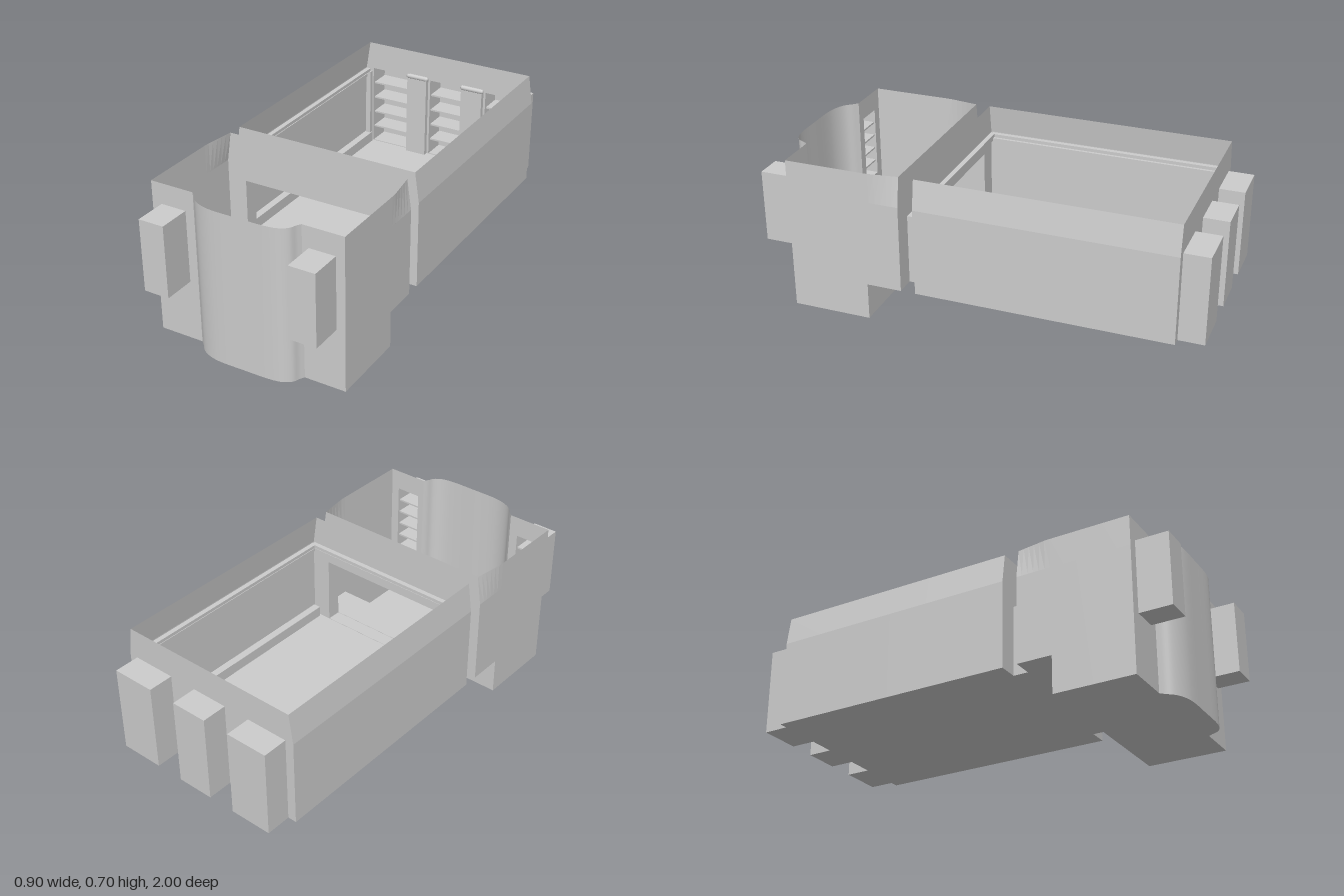
import * as THREE from 'three';

const mat = new THREE.MeshStandardMaterial({ color: 0xcccccc, side: THREE.DoubleSide, flatShading: true });
const smoothMat = new THREE.MeshStandardMaterial({ color: 0xcccccc, side: THREE.DoubleSide });
const TOP = 0.705, DECK = 0.17, EAVE = 0.57;

function add(parent, name, geo, material = mat) {
  const mesh = new THREE.Mesh(geo, material);
  mesh.name = name;
  parent.add(mesh);
  return mesh;
}

// Box given by its limits; faces listed in omit are left open (0 +x, 1 -x, 2 +y, 3 -y, 4 +z, 5 -z)
function box(x0, x1, y0, y1, z0, z1, omit = []) {
  const g = new THREE.BoxGeometry(x1 - x0, y1 - y0, z1 - z0);
  const index = Array.from(g.index.array).filter((_, i) => !omit.includes(Math.floor(i / 6)));
  g.setIndex(index);
  g.clearGroups();
  g.translate((x0 + x1) / 2, (y0 + y1) / 2, (z0 + z1) / 2);
  return g;
}

function floor(x0, x1, z0, z1, y) {
  return new THREE.PlaneGeometry(x1 - x0, z1 - z0).rotateX(-Math.PI / 2)
    .translate((x0 + x1) / 2, y, (z0 + z1) / 2);
}

// Upright sheet facing +z with rectangular openings [x0, x1, y0, y1]
function wall(points, openings, z) {
  const shape = new THREE.Shape(points.map(p => new THREE.Vector2(...p)));
  for (const [x0, x1, y0, y1] of openings) {
    shape.holes.push(new THREE.Path([[x0, y0], [x0, y1], [x1, y1], [x1, y0]].map(p => new THREE.Vector2(...p))));
  }
  return new THREE.ShapeGeometry(shape).translate(0, 0, z);
}

// Side wall whose upper strip leans inward; lean(z) gives the amount at the top
function sideWall(side, z0, z1, y0, lean) {
  const g = new THREE.PlaneGeometry(z1 - z0, 1, 6, 2).rotateY(Math.PI / 2);
  const p = g.attributes.position;
  for (let i = 0; i < p.count; i++) {
    const v = p.getY(i), z = p.getZ(i) + (z0 + z1) / 2;
    const y = v > 0.4 ? TOP : v > -0.4 ? EAVE : y0;
    const x = 0.45 - (y === TOP ? lean(z) : 0);
    p.setXYZ(i, side * x, y, z);
  }
  if (side < 0) g.setIndex(Array.from(g.index.array).reverse());
  g.computeVertexNormals();
  return g;
}

// Recessed cupboard, open to the room, with shelves
function alcove(parent, name, x0, x1, y0, y1, z0, z1, openFace) {
  const group = new THREE.Group();
  group.name = name;
  add(group, 'cupboardShell', box(x0, x1, y0, y1, z0, z1, [openFace]));
  for (let i = 1; i < 5; i++) {
    const y = y0 + (y1 - y0) * i / 5;
    add(group, 'shelf', box(x0 + 0.004, x1 - 0.004, y - 0.004, y + 0.004, z0 + 0.006, z1 - 0.006));
  }
  parent.add(group);
}

const section = [[-0.45, DECK], [0.45, DECK], [0.45, EAVE], [0.43, TOP], [-0.43, TOP], [-0.45, EAVE]];
const door = [-0.36, 0.36, DECK + 0.002, 0.49];

function buildMainRoom() {
  const room = new THREE.Group();
  room.name = 'mainRoom';
  const zr = -0.885, zf = 0.263;
  const bays = [[-0.41, -0.215], [-0.09, 0.08], [0.21, 0.41]];
  add(room, 'mainFloor', floor(-0.45, 0.45, zr, zf, DECK));
  add(room, 'mainFrontWall', wall(section, [door], zf));
  add(room, 'mainRearWall', wall(section, bays.map(([a, b]) => [a, b, DECK + 0.004, EAVE]), zr));
  for (const s of [-1, 1]) {
    add(room, 'mainSideWall', sideWall(s, zr, zf, DECK, () => 0.02));
    const strip = (name, w, y0, y1) =>
      add(room, name, box(Math.min(s * 0.445, s * (0.445 - w)), Math.max(s * 0.445, s * (0.445 - w)), y0, y1, zr + 0.01, zf - 0.01));
    // Cornice mouldings and skirting along the side walls
    strip('upperCornice', 0.022, 0.555, 0.57);
    strip('lowerCornice', 0.014, 0.53, 0.545);
    strip('skirting', 0.035, DECK, 0.22);
  }
  for (const [y, d] of [[0.555, 0.025], [0.53, 0.015]]) {
    add(room, 'frontCornice', box(-0.44, 0.44, y, y + 0.015, zf - d, zf - 0.003));
  }
  bays.forEach(([a, b]) => alcove(room, 'rearCupboard', a, b, DECK, EAVE, -1, zr, 4));
  // Panels between the rear cupboards, each with a rounded cap
  for (const [a, b] of [[-0.205, -0.1], [0.09, 0.2]]) {
    add(room, 'rearPanel', box(a, b, DECK, EAVE, zr + 0.002, -0.86));
    const cap = add(room, 'panelCap', new THREE.CapsuleGeometry(0.012, b - a - 0.01, 4, 10), smoothMat);
    cap.rotation.z = Math.PI / 2;
    cap.position.set((a + b) / 2, 0.58, -0.868);
  }
  for (const x of [-0.427, 0.427]) {
    add(room, 'cornerPost', box(x - 0.012, x + 0.012, DECK, 0.555, zr + 0.002, -0.86));
  }
  return room;
}

function buildPassage() {
  const passage = new THREE.Group();
  passage.name = 'passage';
  add(passage, 'passageTunnel', box(-0.36, 0.36, DECK, 0.49, 0.263, 0.33, [4, 5]));
  return passage;
}

function buildCabin() {
  const cabin = new THREE.Group();
  cabin.name = 'frontCabin';
  const z0 = 0.33, step = 0.49, zf = 0.853;
  // Plan of the bowed front, from right to left
  const bowPoints = [[-0.245, zf], [-0.225, 0.872], [-0.2, 0.9], [-0.165, 0.92], [-0.11, 0.934], [0.02, 0.936],
    [0.16, 0.933], [0.205, 0.922], [0.235, 0.9], [0.248, 0.872], [0.26, zf]];
  const curve = new THREE.CatmullRomCurve3(bowPoints.map(([x, z]) => new THREE.Vector3(x, 0, z)));
  const plan = curve.getPoints(40);

  // Bowed front sheet
  const bow = new THREE.PlaneGeometry(1, TOP, plan.length - 1, 1);
  const p = bow.attributes.position;
  for (let i = 0; i < p.count; i++) {
    const q = plan[i % plan.length];
    p.setXYZ(i, q.x, i < plan.length ? TOP : 0, q.z);
  }
  bow.computeVertexNormals();
  add(cabin, 'bowedFront', bow, smoothMat);

  // Flat front panels with the cupboards
  for (const [a, b, c, d] of [[-0.45, -0.245, -0.405, -0.287], [0.26, 0.45, 0.29, 0.41]]) {
    add(cabin, 'frontPanel', wall([[a, 0], [b, 0], [b, TOP], [a, TOP]], [[c, d, 0.28, 0.61]], zf));
    alcove(cabin, 'frontCupboard', c, d, 0.28, 0.61, zf, 1, 5);
  }

  // Side walls: short over the raised deck, full height ahead of it
  const lean = z => 0.02 * THREE.MathUtils.clamp((0.47 - z) / 0.14, 0, 1);
  for (const s of [-1, 1]) {
    add(cabin, 'cabinRearSide', sideWall(s, z0, step, DECK, lean));
    add(cabin, 'cabinFrontSide', sideWall(s, step, zf, 0, lean));
  }
  add(cabin, 'cabinRearWall', wall(section, [door], z0));

  // Raised deck, riser and lower floor
  add(cabin, 'raisedDeck', floor(-0.45, 0.45, z0, step, DECK));
  add(cabin, 'riser', wall([[-0.45, 0], [0.45, 0], [0.45, DECK], [-0.45, DECK]], [], step));
  const plate = new THREE.Shape([
    new THREE.Vector2(-0.45, -step), new THREE.Vector2(-0.45, -zf),
    ...plan.map(q => new THREE.Vector2(q.x, -q.z)),
    new THREE.Vector2(0.45, -zf), new THREE.Vector2(0.45, -step)]);
  add(cabin, 'lowerFloor', new THREE.ShapeGeometry(plate).rotateX(-Math.PI / 2));

  // Steps down from the deck, ending in a rounded landing
  [[0.49, 0.53, 0.13], [0.53, 0.57, 0.09], [0.57, 0.6, 0.05]].forEach(([a, b, h]) =>
    add(cabin, 'stair', box(-0.09, 0.09, 0.002, h, a + 0.001, b)));
  const pad = new THREE.Shape();
  pad.absarc(0.1, 0, 0.03, -Math.PI / 2, Math.PI / 2);
  pad.absarc(-0.1, 0, 0.03, Math.PI / 2, Math.PI * 1.5);
  add(cabin, 'landing', new THREE.ExtrudeGeometry(pad, { depth: 0.02, bevelEnabled: false })
    .rotateX(-Math.PI / 2).translate(0, 0.002, 0.6));
  return cabin;
}

export function createModel() {
  const model = new THREE.Group();
  model.name = 'cutawayRooms';
  model.add(buildMainRoom(), buildPassage(), buildCabin());
  return model;
}
